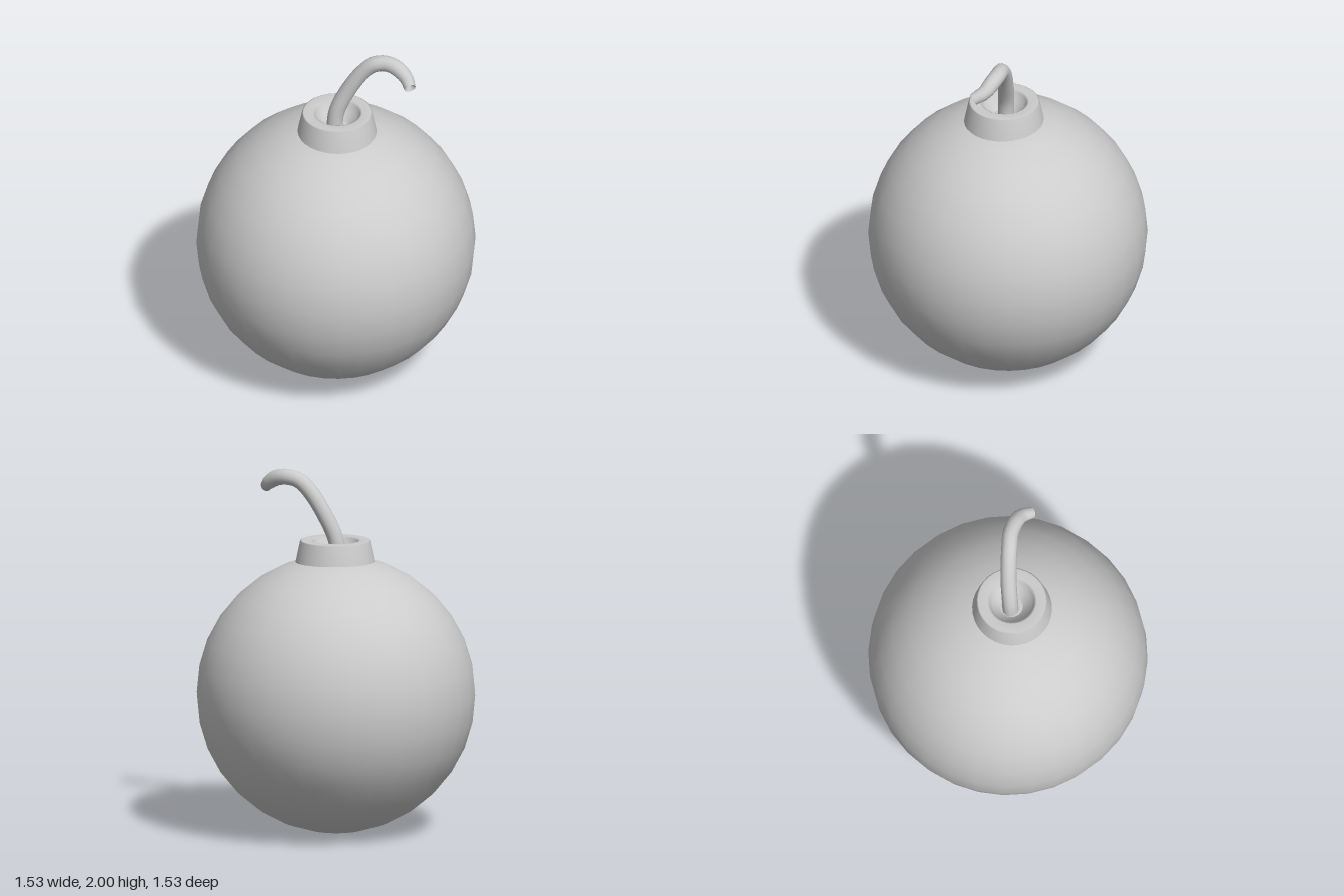
import * as THREE from 'three';

export function createModel() {
  const model = new THREE.Group();
  const material = new THREE.MeshStandardMaterial({ color: 0xcccccc });
  const openMaterial = new THREE.MeshStandardMaterial({ color: 0xcccccc, side: THREE.DoubleSide });

  const add = (name, geometry, mat, x = 0, y = 0, z = 0) => {
    const mesh = new THREE.Mesh(geometry, mat);
    mesh.name = name;
    mesh.position.set(x, y, z);
    model.add(mesh);
    return mesh;
  };

  // Round body
  add('body', new THREE.SphereGeometry(0.764, 32, 16), material, 0, 0.768, 0);

  // Tapered neck with a recessed opening, profile from outer foot to inner floor
  const profile = [
    [0.225, 1.46], [0.218, 1.495], [0.193, 1.613], [0.185, 1.617],
    [0.135, 1.617], [0.122, 1.61], [0.108, 1.565], [0.06, 1.525],
  ].map(([r, y]) => new THREE.Vector2(r, y));
  add('neck', new THREE.LatheGeometry(profile, 32), openMaterial, 0.01, 0, 0.02);

  // Fuse rising from the neck and curling over to the left and forward
  const path = new THREE.CatmullRomCurve3([
    [-0.01, 1.48, 0.015], [0.005, 1.62, 0.01], [0.07, 1.765, 0.0], [0.145, 1.88, -0.002],
    [0.21, 1.94, 0.0], [0.28, 1.956, 0.004], [0.345, 1.945, 0.025],
    [0.4, 1.91, 0.06], [0.43, 1.882, 0.115],
  ].map((p) => new THREE.Vector3(...p)));
  const steps = 28, sides = 12;
  const fuse = new THREE.TubeGeometry(path, steps, 0.044, sides);

  // Narrow the fuse slightly towards its tip
  const pos = fuse.attributes.position;
  const point = new THREE.Vector3();
  for (let i = 0; i < pos.count; i++) {
    const t = Math.floor(i / (sides + 1)) / steps;
    if (t < 0.85) continue;
    const centre = path.getPointAt(t);
    point.fromBufferAttribute(pos, i).sub(centre);
    point.multiplyScalar(1 - (t - 0.85) * 1.8).add(centre);
    pos.setXYZ(i, point.x, point.y, point.z);
  }
  fuse.computeBoundingSphere();
  add('fuse', fuse, openMaterial);

  // Hollow tip: a shallow cone sunk into the end of the fuse
  const hollow = new THREE.ConeGeometry(0.032, 0.035, sides, 1, true);
  hollow.translate(0, -0.0175, 0);
  const tip = add('fuseTip', hollow, openMaterial);
  tip.position.copy(path.getPointAt(1));
  tip.quaternion.setFromUnitVectors(new THREE.Vector3(0, 1, 0), path.getTangentAt(1).negate());
  tip.translateY(0.035);

  return model;
}
